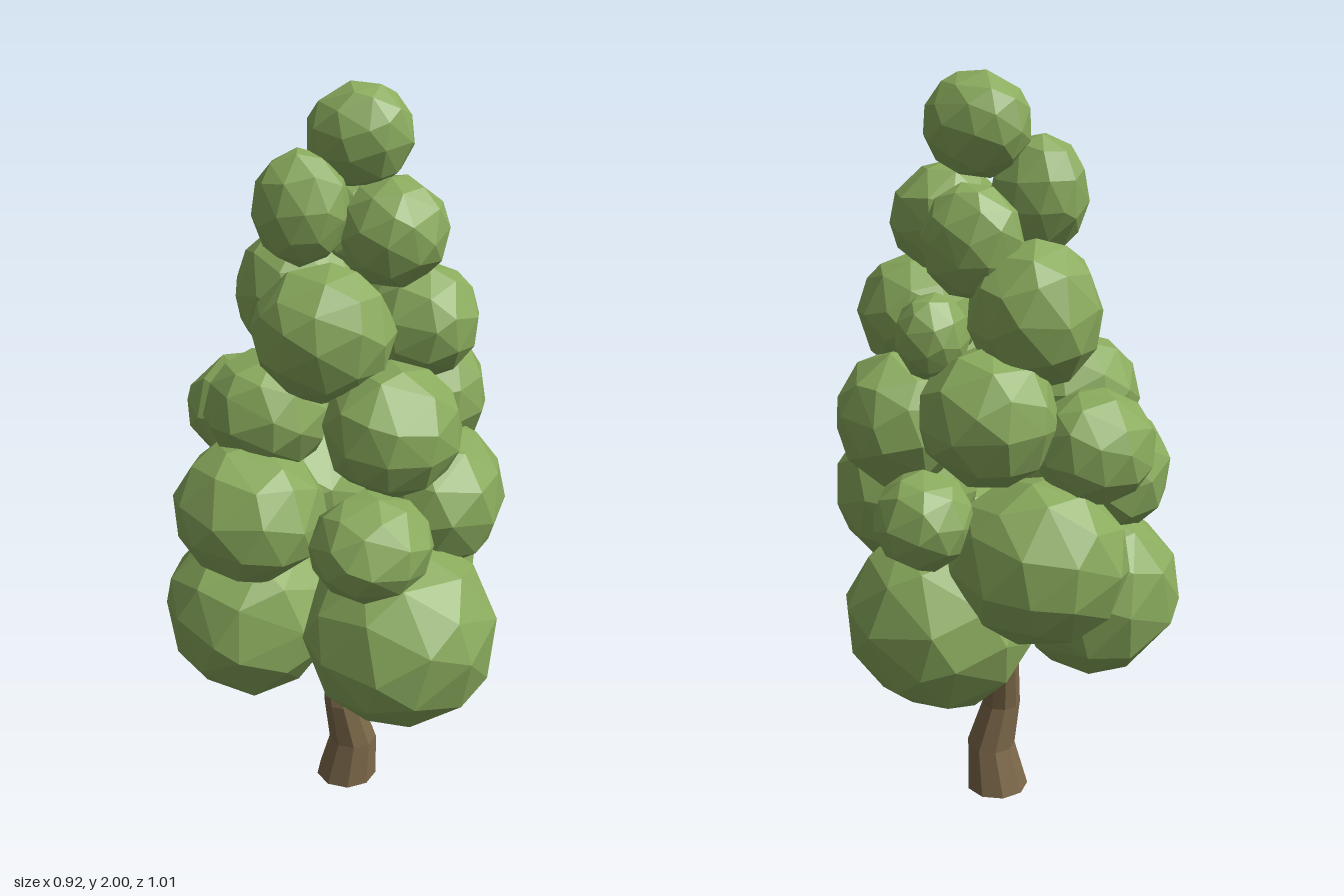
import * as THREE from 'three';

export function createModel() {
  const tree = new THREE.Group();
  tree.name = 'tree';
  const leafGreen = new THREE.MeshStandardMaterial({ color: 0x8aab5d, flatShading: true });
  leafGreen.name = 'leaf green';
  const barkBrown = new THREE.MeshStandardMaterial({ color: 0x7d694a, flatShading: true, side: THREE.DoubleSide });
  barkBrown.name = 'bark brown';

  // Bent, tapering trunk, open at the ends: each ring is [x, y, z, radius]
  const rings = [
    [0.01, 0, 0, 0.087], [0.022, 0.13, 0.015, 0.068], [-0.004, 0.26, 0, 0.053],
    [0.006, 0.38, -0.025, 0.045], [0.02, 0.6, -0.04, 0.04], [0.02, 0.8, -0.03, 0.03],
  ];
  const trunkGeometry = new THREE.CylinderGeometry(1, 1, 1, 9, rings.length - 1, true);
  const p = trunkGeometry.attributes.position;
  for (let i = 0; i < p.count; i++) {
    const [x, y, z, r] = rings[Math.round((p.getY(i) + 0.5) * (rings.length - 1))];
    p.setXYZ(i, x + p.getX(i) * r, y, z + p.getZ(i) * r);
  }
  trunkGeometry.computeVertexNormals();
  const trunk = new THREE.Mesh(trunkGeometry, barkBrown);
  trunk.name = 'trunk';
  tree.add(trunk);

  // Foliage clumps, bottom to top: [x, y, z, rx, ry, rz, yaw]
  const q = Math.PI / 4;
  const clumps = [
    [-0.025, 0.62, 0.25, 0.265, 0.255, 0.26, 0],
    [-0.23, 0.61, -0.12, 0.235, 0.245, 0.24, 0],
    [0.225, 0.61, -0.06, 0.245, 0.245, 0.27, 0],
    [0.07, 0.82, -0.3, 0.235, 0.22, 0.2, -q],
    [-0.265, 0.94, -0.07, 0.195, 0.19, 0.215, 0],
    [-0.14, 0.92, 0.255, 0.165, 0.14, 0.155, 0],
    [0.205, 0.915, 0.14, 0.23, 0.205, 0.19, q],
    [0.315, 0.93, -0.155, 0.13, 0.13, 0.13, 0],
    [-0.08, 1.1, -0.32, 0.16, 0.15, 0.15, 0],
    [0.0, 1.175, 0.18, 0.185, 0.175, 0.18, 0],
    [0.285, 1.145, 0.02, 0.165, 0.185, 0.17, 0],
    [0.16, 1.19, -0.21, 0.18, 0.18, 0.18, 0],
    [-0.155, 1.18, -0.12, 0.17, 0.16, 0.17, 0],
    [-0.085, 1.41, 0.02, 0.185, 0.18, 0.16, -q],
    [0.195, 1.395, 0.08, 0.155, 0.155, 0.16, 0],
    [0.255, 1.38, -0.1, 0.095, 0.11, 0.09, 0],
    [0.03, 1.43, -0.21, 0.17, 0.19, 0.17, 0],
    [0.125, 1.635, 0.05, 0.145, 0.145, 0.14, 0],
    [-0.06, 1.7, -0.09, 0.125, 0.15, 0.105, -q],
    [0.15, 1.605, -0.115, 0.13, 0.145, 0.1, -q],
    [0.083, 1.87, -0.03, 0.137, 0.132, 0.104, -q],
  ];
  const foliage = new THREE.Group();
  foliage.name = 'foliage';
  const v = new THREE.Vector3();
  const shift = new THREE.Vector3();
  clumps.forEach(([x, y, z, rx, ry, rz, yaw], i) => {
    const geometry = new THREE.IcosahedronGeometry(1, 1);
    // Turn each ball differently so the facets do not repeat
    geometry.rotateX(i * 1.3).rotateY(i * 2.1).rotateZ(i * 0.7);
    // Slide the corners along the surface for uneven facets
    const corners = geometry.attributes.position;
    for (let k = 0; k < corners.count; k++) {
      v.fromBufferAttribute(corners, k);
      shift.set(Math.sin(v.y * 7 + i), Math.sin(v.z * 7 + 2 * i), Math.sin(v.x * 7 + 3 * i));
      v.addScaledVector(shift, 0.1).normalize();
      corners.setXYZ(k, v.x, v.y, v.z);
    }
    geometry.scale(rx, ry, rz);
    geometry.computeVertexNormals();
    const clump = new THREE.Mesh(geometry, leafGreen);
    clump.name = `leafClump${i + 1}`;
    clump.position.set(x, y, z);
    clump.rotation.y = yaw;
    foliage.add(clump);
  });
  tree.add(foliage);
  return tree;
}
